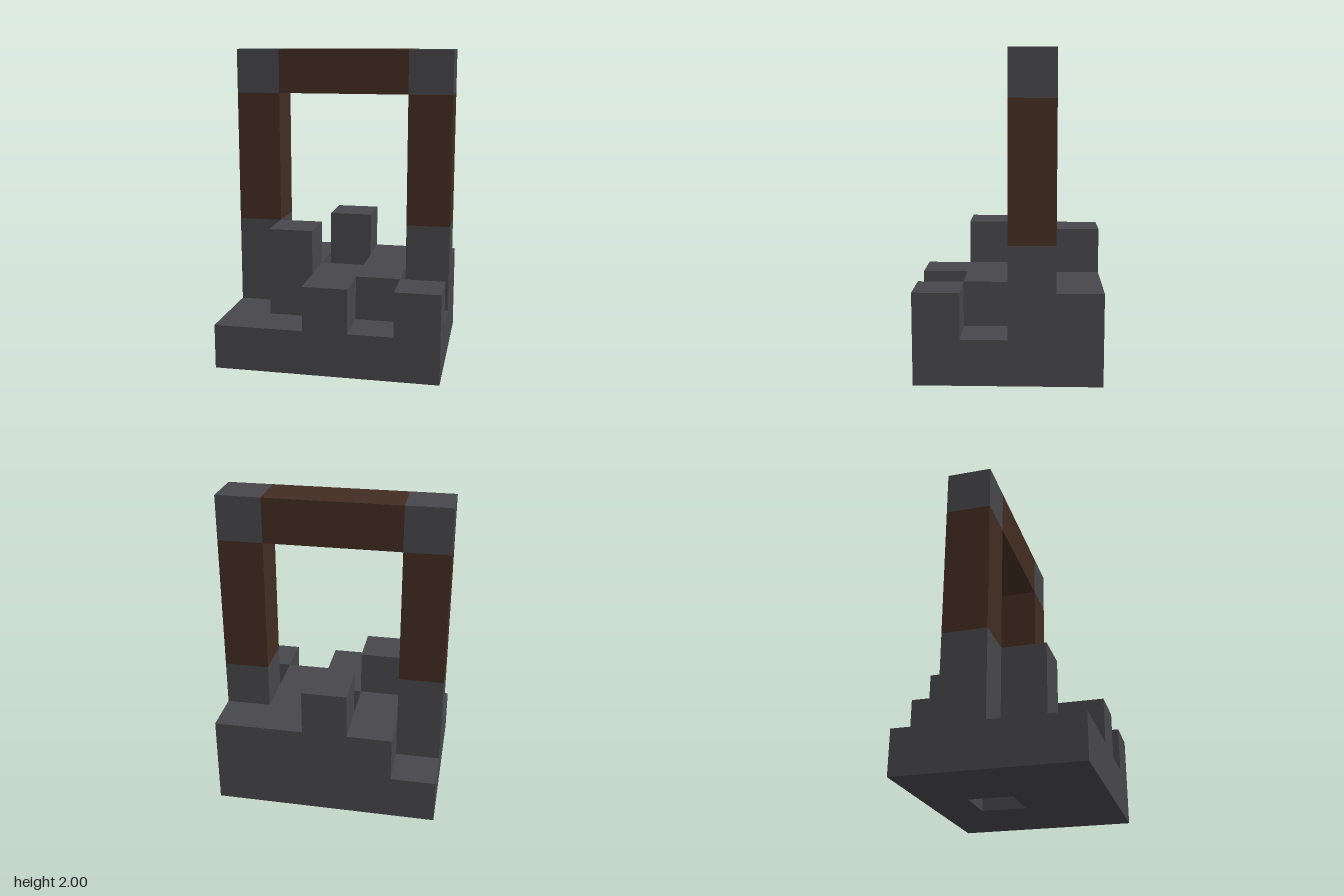
import * as THREE from 'three';

const U = 2 / 7; // one block
const COLS = 5, ROWS = 4;

// block heights of the stone base, back row first, columns from -x to +x
const HEIGHTS = [
  [1, 2, 3, 2, 2],
  [3, 2, 0, 2, 3], // 0 is the open shaft
  [1, 3, 2, 2, 1],
  [1, 1, 2, 1, 2],
];

const heightAt = (c, r) => HEIGHTS[r]?.[c] ?? 0;

// outer skin of the stepped base: top, bottom and only the exposed sides
function baseGeometry() {
  const pos = [];
  const quad = (a, b, c, d) => {
    for (const p of [a, b, c, a, c, d]) {
      pos.push((p[0] - COLS / 2) * U, p[1] * U, (p[2] - ROWS / 2) * U);
    }
  };
  for (let r = 0; r < ROWS; r++) {
    for (let c = 0; c < COLS; c++) {
      const h = heightAt(c, r);
      if (!h) continue;
      const x0 = c, x1 = c + 1, z0 = r, z1 = r + 1;
      quad([x0, h, z1], [x1, h, z1], [x1, h, z0], [x0, h, z0]);
      quad([x0, 0, z0], [x1, 0, z0], [x1, 0, z1], [x0, 0, z1]);
      // each side: neighbour offset and its bottom edge, left to right from outside
      const sides = [
        [0, 1, [x0, z1], [x1, z1]],
        [0, -1, [x1, z0], [x0, z0]],
        [1, 0, [x1, z1], [x1, z0]],
        [-1, 0, [x0, z0], [x0, z1]],
      ];
      for (const [dc, dr, a, b] of sides) {
        const low = heightAt(c + dc, r + dr);
        if (low < h) quad([a[0], low, a[1]], [b[0], low, b[1]], [b[0], h, b[1]], [a[0], h, a[1]]);
      }
    }
  }
  const g = new THREE.BufferGeometry();
  g.setAttribute('position', new THREE.Float32BufferAttribute(pos, 3));
  g.computeVertexNormals();
  return g;
}

export function createModel() {
  const stone = new THREE.MeshStandardMaterial({ color: 0x47464a });
  stone.name = 'dark stone';
  const wood = new THREE.MeshStandardMaterial({ color: 0x422d22 });
  wood.name = 'dark wood';

  const model = new THREE.Group();
  model.name = 'stoneWell';

  const add = (name, geometry, material, x = 0, y = 0, z = 0) => {
    const mesh = new THREE.Mesh(geometry, material);
    mesh.name = name;
    mesh.position.set(x * U, y * U, z * U);
    model.add(mesh);
  };

  add('steppedBase', baseGeometry(), stone);

  // arch over the shaft
  for (const [side, s] of [['left', 1], ['right', -1]]) {
    add(side + 'Post', new THREE.BoxGeometry(U, 3 * U, U), wood, 2 * s, 4.5, -0.5);
    add(side + 'CornerBlock', new THREE.BoxGeometry(U, U, U), stone, 2 * s, 6.5, -0.5);
  }
  add('crossBeam', new THREE.BoxGeometry(3 * U, U, U), wood, 0, 6.5, -0.5);

  return model;
}
